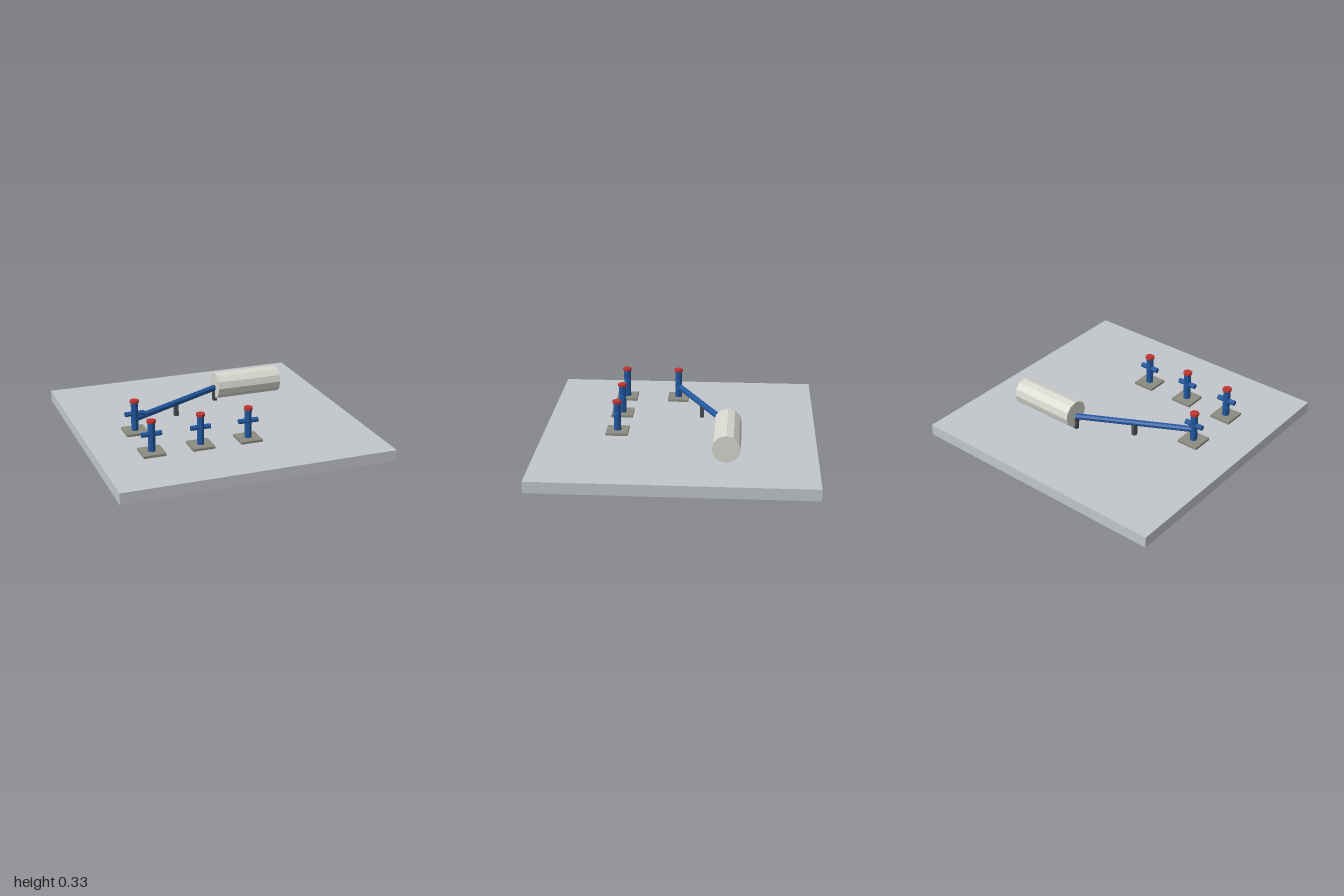
import * as THREE from 'three';

const mat = (color) => new THREE.MeshStandardMaterial({ color, flatShading: true });

export function createModel() {
  const root = new THREE.Group();
  const slabMat = mat(0xc2c6ca), padMat = mat(0x8c8c82), blue = mat(0x2158a0);
  const red = mat(0xc03530), tankMat = mat(0xd8d8d0), dark = mat(0x4a4d50);

  const add = (parent, name, geo, material, x, y, z) => {
    const m = new THREE.Mesh(geo, material);
    m.name = name;
    m.position.set(x, y, z);
    parent.add(m);
    return m;
  };

  // Ground slab
  const ground = 0.085;
  add(root, 'slab', new THREE.BoxGeometry(2, ground, 2), slabMat, 0, ground / 2, 0);

  // Wellheads: pad, post, cross arm and red cap
  const padGeo = new THREE.BoxGeometry(0.163, 0.018, 0.163);
  const postGeo = new THREE.CylinderGeometry(0.027, 0.027, 0.21, 8);
  const armGeo = new THREE.CylinderGeometry(0.019, 0.019, 0.145, 8).rotateZ(Math.PI / 2);
  const capGeo = new THREE.CylinderGeometry(0.034, 0.034, 0.018, 8);
  for (const [x, z] of [[-0.615, 0.05], [-0.615, 0.457], [-0.257, 0.457], [0.101, 0.457]]) {
    const well = new THREE.Group();
    well.name = 'wellhead';
    well.position.set(x, ground, z);
    add(well, 'pad', padGeo, padMat, 0, 0.009, 0);
    add(well, 'post', postGeo, blue, 0, 0.123, 0);
    add(well, 'crossArm', armGeo, blue, 0, 0.143, 0);
    add(well, 'cap', capGeo, red, 0, 0.237, 0);
    root.add(well);
  }

  // Flow pipe from the rear wellhead to the tank
  const a = new THREE.Vector3(-0.615, 0.188, 0.05);
  const b = new THREE.Vector3(0.15, 0.188, -0.357);
  const dir = b.clone().sub(a);
  const mid = a.clone().lerp(b, 0.5);
  const pipe = add(root, 'pipe', new THREE.CylinderGeometry(0.023, 0.023, dir.length(), 8), blue, mid.x, mid.y, mid.z);
  pipe.quaternion.setFromUnitVectors(new THREE.Vector3(0, 1, 0), dir.normalize());

  // Pipe supports
  const supportGeo = new THREE.BoxGeometry(0.03, 0.09, 0.03);
  for (const p of [mid, b]) add(root, 'pipeSupport', supportGeo, dark, p.x, ground + 0.045, p.z);

  // Horizontal tank
  const tankGeo = new THREE.CylinderGeometry(0.101, 0.101, 0.51, 12).rotateZ(Math.PI / 2);
  add(root, 'tank', tankGeo, tankMat, 0.405, 0.207, -0.357);

  return root;
}
